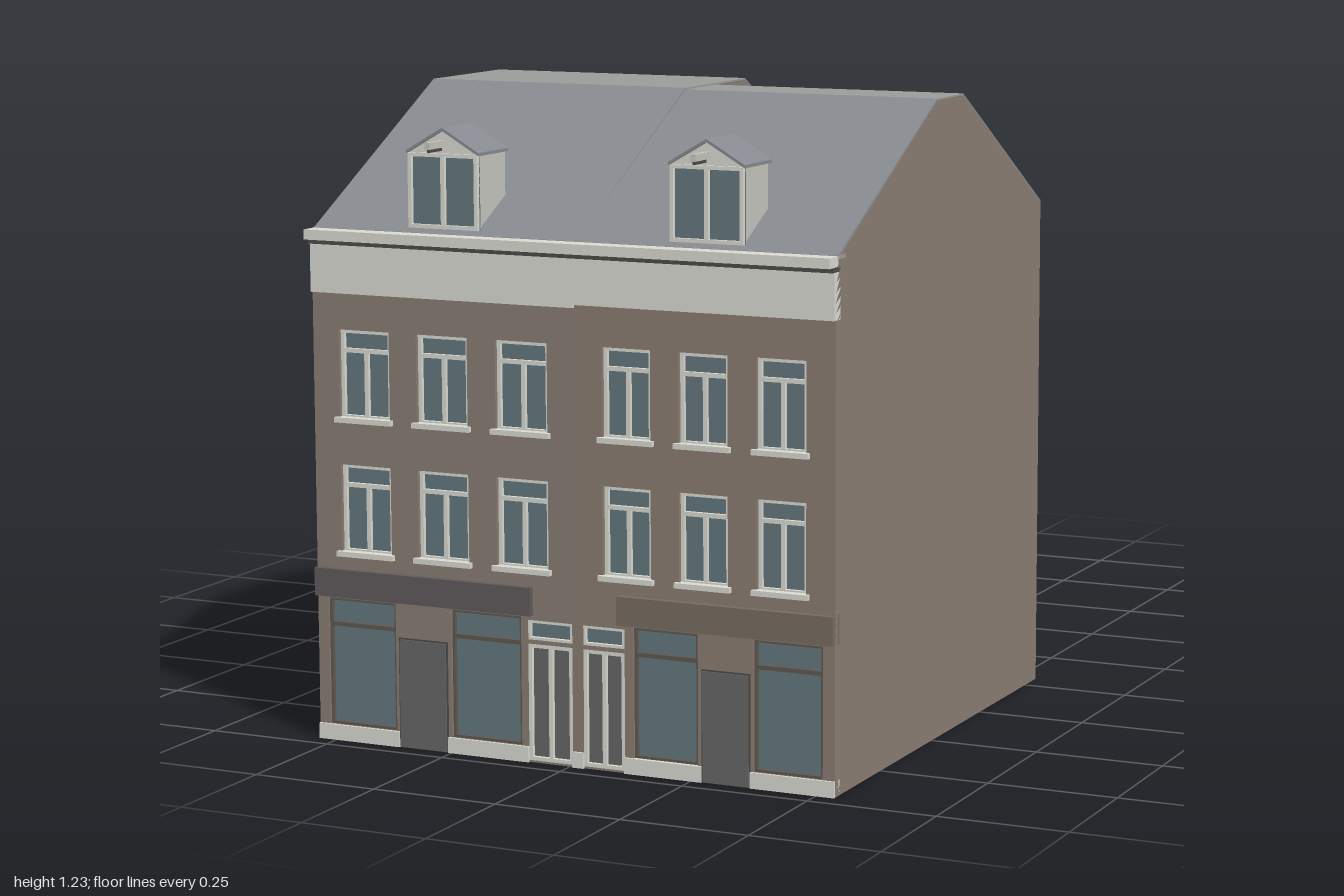
import * as THREE from 'three';

const mat = (color) => new THREE.MeshStandardMaterial({ color });
const M = {
  brick: mat(0x887c73), brickB: mat(0x897d72), roof: mat(0x868a90), flat: mat(0x999c99),
  white: mat(0xdadad2), glass: mat(0x64777e), door: mat(0x666666), dark: mat(0x4c4a48),
  fasciaA: mat(0x605a5b), fasciaB: mat(0x776b60), shopFrame: mat(0x5f574f), cheek: mat(0xc4c4be),
};

function add(parent, geo, material, name) {
  const mesh = new THREE.Mesh(geo, material);
  mesh.name = name;
  parent.add(mesh);
  return mesh;
}

// Box given by its limits on each axis
function box(parent, name, material, x0, x1, y0, y1, z0, z1) {
  const m = add(parent, new THREE.BoxGeometry(x1 - x0, y1 - y0, z1 - z0), material, name);
  m.position.set((x0 + x1) / 2, (y0 + y1) / 2, (z0 + z1) / 2);
  return m;
}

// Solid with a [z, y] profile, running from x0 to x1
function prismX(parent, name, material, profile, x0, x1) {
  const shape = new THREE.Shape(profile.map(([z, y]) => new THREE.Vector2(-z, y)));
  const geo = new THREE.ExtrudeGeometry(shape, { depth: x1 - x0, bevelEnabled: false });
  geo.rotateY(Math.PI / 2);
  geo.translate(x0, 0, 0);
  return add(parent, geo, material, name);
}

// Thin roof covering between two [z, y] profile points
function roofPanel(parent, name, material, a, b, x0, x1) {
  const t = 0.003;
  prismX(parent, name, material, [a, b, [b[0], b[1] + t], [a[0], a[1] + t]], x0, x1);
}

// Framed window, facing local +z, its lower middle at the origin
function makeWindow(w, h, { frame = M.white, bar = 0.007, transom = 0, mullion = false, sill = true, pane = M.glass } = {}) {
  const g = new THREE.Group();
  g.name = 'window';
  const r = w / 2, d = 0.012;
  box(g, 'pane', pane, -r, r, 0, h, 0, 0.004);
  for (const s of [-1, 1]) {
    const x = s * (r - bar / 2);
    box(g, 'frameSide', frame, x - bar / 2, x + bar / 2, 0, h, 0, d);
  }
  box(g, 'frameTop', frame, -r, r, h - bar, h, 0, d);
  box(g, 'frameBottom', frame, -r, r, 0, bar, 0, d);
  const top = transom || h;
  if (transom) box(g, 'transom', frame, -r, r, transom - 0.004, transom + 0.004, 0, d);
  if (mullion) box(g, 'mullion', frame, -0.004, 0.004, 0, top, 0, d);
  if (sill) box(g, 'sill', frame, -r - 0.007, r + 0.007, -0.006, 0.004, 0, 0.03);
  return g;
}

function place(parent, obj, name, x, y, z, back = false) {
  obj.name = name;
  obj.position.set(x, y, z);
  if (back) obj.rotation.y = Math.PI;
  parent.add(obj);
}

// Front wall slab pierced by [x0, x1, y0, y1] openings
const WALL = 0.94, FRONT = 0.96;
function facade(parent, material, x0, x1, top, openings) {
  const rect = (C, a, b, c, d) => new C([[a, c], [b, c], [b, d], [a, d]].map((p) => new THREE.Vector2(...p)));
  const shape = rect(THREE.Shape, x0, x1, 0, top);
  for (const o of openings) shape.holes.push(rect(THREE.Path, ...o));
  const geo = new THREE.ExtrudeGeometry(shape, { depth: FRONT - WALL, bevelEnabled: false });
  geo.translate(0, 0, WALL);
  add(parent, geo, material, 'frontWall');
}

function makeDormer() {
  const g = new THREE.Group();
  const r = 0.073, zb = 0.83, zf = 0.94, eave = 1.13, peak = 1.172;
  box(g, 'dormerBody', M.cheek, -r + 0.004, r - 0.004, 0.985, eave, zb, zf - 0.006);
  place(g, makeWindow(2 * r, 0.14, { mullion: true, sill: false }), 'dormerWindow', 0, 0.99, zf - 0.006);
  // Gable
  const tri = new THREE.Shape([new THREE.Vector2(-r, eave), new THREE.Vector2(r, eave), new THREE.Vector2(0, peak)]);
  const geo = new THREE.ExtrudeGeometry(tri, { depth: zf - zb, bevelEnabled: false });
  geo.translate(0, 0, zb);
  add(g, geo, M.white, 'dormerGable');
  // Roof slopes
  for (const s of [-1, 1]) {
    const pts = [[0, peak], [s * (r + 0.003), eave - 0.002], [s * (r + 0.003), eave + 0.004], [0, peak + 0.006]];
    const slope = new THREE.Shape(pts.map((p) => new THREE.Vector2(...p)));
    const sg = new THREE.ExtrudeGeometry(slope, { depth: zf - zb + 0.006, bevelEnabled: false });
    sg.translate(0, 0, zb - 0.001);
    add(g, sg, M.roof, 'dormerRoof');
  }
  // Hoisting beam
  box(g, 'hoistBeam', M.cheek, -0.005, 0.005, 1.142, 1.155, zf, 1.0);
  box(g, 'hoistHook', M.dark, -0.003, 0.003, 1.136, 1.144, 0.95, 0.995);
  return g;
}

function makeHouse(o) {
  const g = new THREE.Group();
  g.name = o.name;
  const { x0, x1, ridge, flatEnd, back } = o;

  // Body and roof
  const eave = [0.92, 0.992], front = [0.49, ridge], rear = [flatEnd, ridge], low = [back, 0.978];
  prismX(g, 'body', o.wall, [[WALL, 0], [WALL, 0.978], eave, front, rear, low, [back, 0]], x0, x1);
  roofPanel(g, 'frontRoof', M.roof, [0.955, 0.976], front, x0, x1);
  roofPanel(g, 'flatRoof', M.flat, front, rear, x0, x1);
  roofPanel(g, 'rearRoof', M.roof, rear, low, x0, x1);

  // Upper windows
  const openings = [];
  for (const y of [0.365, 0.622]) {
    for (const x of o.columns) {
      const h = 0.17, w = o.winWidth;
      openings.push([x - w / 2, x + w / 2, y, y + h]);
      place(g, makeWindow(w, h, { transom: 0.13, mullion: true }), 'upperWindow', x, y, WALL);
    }
  }

  // Shop windows and shop door
  for (const [a, b] of o.shopWindows) {
    openings.push([a, b, 0.03, 0.276]);
    const w = makeWindow(b - a, 0.246, { frame: M.shopFrame, bar: 0.005, transom: 0.195, sill: false });
    place(g, w, 'shopWindow', (a + b) / 2, 0.03, WALL + 0.004);
  }
  const [da, db] = o.shopDoor;
  box(g, 'shopDoorFrame', M.dark, da, db, 0.001, 0.212, WALL, 0.962);
  box(g, 'shopDoor', M.door, da + 0.003, db - 0.003, 0.001, 0.209, WALL, 0.965);

  // House entrance: double door with a light above
  const [ea, eb] = o.entrance, ew = eb - ea, ex = (ea + eb) / 2;
  openings.push([ea, eb, 0.004, 0.226], [ea, eb, 0.234, 0.271]);
  place(g, makeWindow(ew, 0.222, { mullion: true, sill: false, pane: M.door }), 'entranceDoor', ex, 0.004, WALL + 0.008);
  place(g, makeWindow(ew, 0.037, { bar: 0.005, sill: false }), 'entranceLight', ex, 0.234, WALL + 0.008);
  facade(g, o.wall, x0, x1, 0.975, openings);

  // Shop fascia
  box(g, 'shopFascia', o.fasciaMat, o.fascia[0], o.fascia[1], 0.28, 0.334, WALL, 0.972);

  // Stone plinth between the doors
  const cuts = [o.shopDoor, o.entrance].sort((p, q) => p[0] - q[0]);
  let from = x0;
  for (const [a, b] of [...cuts, [x1, x1]]) {
    if (a > from) box(g, 'plinth', M.white, from, a, 0, 0.03, WALL, 0.965);
    from = b;
  }

  // Frieze and cornice
  box(g, 'frieze', M.white, x0, x1, o.friezeY, 0.953, WALL, 0.967);
  box(g, 'corniceShadow', M.dark, x0, x1, 0.953, 0.962, WALL, 0.974);
  box(g, 'cornice', M.white, x0, x1, 0.962, 0.981, 0.95, 0.988);
  box(g, 'gutterTop', M.flat, x0, x1, 0.975, 0.982, 0.915, 0.952);

  place(g, makeDormer(), 'dormer', o.dormerX, 0, 0);
  return g;
}

export function createModel() {
  const model = new THREE.Group();
  model.name = 'townHouses';

  const rightHouse = makeHouse({
    name: 'rightHouse', x0: -0.537, x1: 0.016, ridge: 1.225, flatEnd: 0.22, back: -0.217, wall: M.brick,
    columns: [-0.428, -0.262, -0.095], winWidth: 0.108, friezeY: 0.861,
    shopWindows: [[-0.514, -0.368], [-0.248, -0.1]], shopDoor: [-0.361, -0.256],
    entrance: [-0.085, 0.007], fascia: [-0.537, -0.075], fasciaMat: M.fasciaA, dormerX: -0.263,
  });
  const leftHouse = makeHouse({
    name: 'leftHouse', x0: 0.016, x1: 0.537, ridge: 1.222, flatEnd: 0.36, back: -0.06, wall: M.brickB,
    columns: [0.121, 0.276, 0.431], winWidth: 0.098, friezeY: 0.867,
    shopWindows: [[0.133, 0.264], [0.376, 0.513]], shopDoor: [0.272, 0.37],
    entrance: [0.03, 0.115], fascia: [0.104, 0.537], fasciaMat: M.fasciaB, dormerX: 0.277,
  });
  model.add(rightHouse, leftHouse);

  // Rear windows of the left house
  for (const y of [0.075, 0.41, 0.668]) {
    for (const x of [0.423, 0.231, 0.107]) {
      place(leftHouse, makeWindow(0.088, 0.165, { sill: false }), 'rearWindow', x, y, -0.056, true);
    }
  }

  // Low rear annex with a flat roof
  const annex = new THREE.Group();
  annex.name = 'annex';
  box(annex, 'annexWalls', M.brick, -0.537, 0.016, 0, 0.278, -0.995, -0.39);
  box(annex, 'annexLink', M.brick, -0.537, 0.008, 0, 0.278, -0.39, -0.21);
  box(annex, 'annexRoof', M.flat, -0.537, 0.016, 0.278, 0.281, -0.995, -0.39);
  box(annex, 'annexLinkRoof', M.flat, -0.537, 0.008, 0.278, 0.281, -0.39, -0.217);
  box(annex, 'roofUpstand', M.brick, -0.2, 0.012, 0.278, 0.325, -0.222, -0.21);
  for (const x of [-0.058, -0.262, -0.462]) {
    place(annex, makeWindow(0.1, 0.16, { sill: false }), 'annexWindow', x, 0.075, -0.988, true);
  }
  model.add(annex);
  return model;
}
